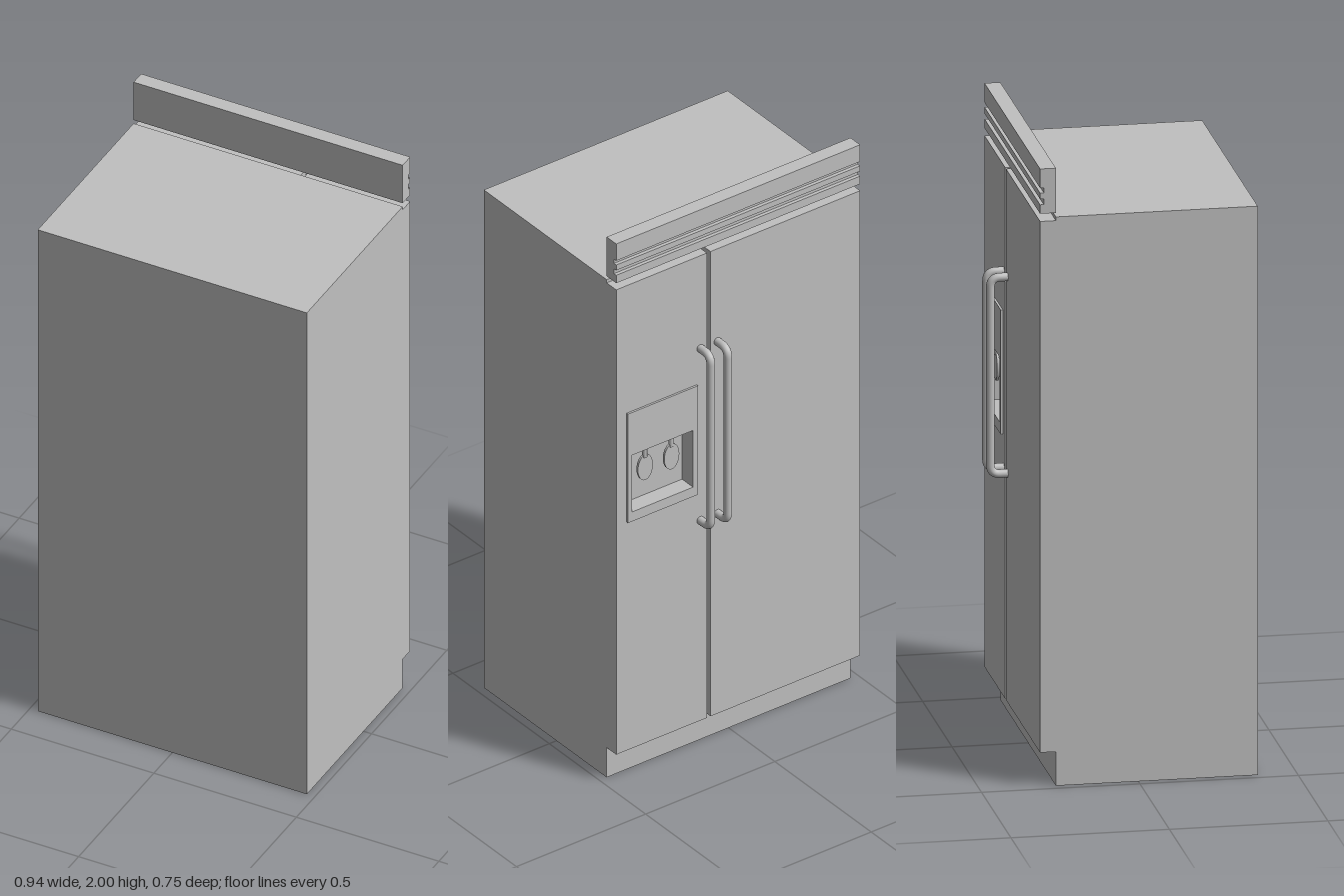
import * as THREE from 'three';

const W = 0.944;          // cabinet width
const BACK = 0.377;       // plain side
const BODY_FRONT = -0.26; // cabinet face behind the doors
const DOOR_FRONT = -0.31;

export function createModel() {
  const model = new THREE.Group();
  model.name = 'refrigerator';
  const grey = new THREE.MeshStandardMaterial({ color: 0xc0c0c0 });
  grey.name = 'grey';

  const add = (name, geometry, parent = model) => {
    const mesh = new THREE.Mesh(geometry, grey);
    mesh.name = name;
    parent.add(mesh);
    return mesh;
  };
  // Box given by its limits on each axis
  const box = (name, [x0, x1], [y0, y1], [z0, z1]) => {
    const g = new THREE.BoxGeometry(x1 - x0, y1 - y0, z1 - z0);
    g.translate((x0 + x1) / 2, (y0 + y1) / 2, (z0 + z1) / 2);
    return add(name, g);
  };
  const corners = (x0, x1, y0, y1) => [[x0, y0], [x1, y0], [x1, y1], [x0, y1]]
    .map(([x, y]) => new THREE.Vector2(x, y));
  // Upright panel with the dispenser opening cut through it
  const opening = corners(0.18, 0.416, 0.99, 1.2);
  const cutPanel = (name, x0, x1, y0, y1, z0, z1) => {
    const shape = new THREE.Shape(corners(x0, x1, y0, y1));
    shape.holes.push(new THREE.Path(opening));
    const g = new THREE.ExtrudeGeometry(shape, { depth: z1 - z0, bevelEnabled: false });
    g.translate(0, 0, z0);
    return add(name, g);
  };

  // Cabinet and doors
  box('cabinet', [-W / 2, W / 2], [0, 1.842], [BODY_FRONT, BACK]);
  box('wideDoor', [-W / 2, 0.107], [0.11, 1.83], [DOOR_FRONT, BODY_FRONT]);
  cutPanel('narrowDoor', 0.121, W / 2, 0.11, 1.83, DOOR_FRONT, BODY_FRONT);

  // Top grille with two horizontal grooves
  const f = DOOR_FRONT, groove = DOOR_FRONT + 0.012;
  const profile = [
    [BODY_FRONT, 1.855], [BODY_FRONT, 2], [f, 2],
    [f, 1.938], [groove, 1.938], [groove, 1.922], [f, 1.922],
    [f, 1.902], [groove, 1.902], [groove, 1.884], [f, 1.884], [f, 1.855],
  ].map(([z, y]) => new THREE.Vector2(z, y));
  const grille = new THREE.ExtrudeGeometry(new THREE.Shape(profile), { depth: W, bevelEnabled: false });
  grille.rotateY(-Math.PI / 2);
  grille.translate(W / 2, 0, 0);
  add('topGrille', grille);

  // Pair of bent bar handles beside the door gap
  const low = 0.852, high = 1.488, out = -0.364, bend = 0.03;
  const v = (y, z) => new THREE.Vector3(0, y, z);
  const path = new THREE.CurvePath();
  path.add(new THREE.LineCurve3(v(low, DOOR_FRONT + 0.005), v(low, out + bend)));
  path.add(new THREE.QuadraticBezierCurve3(v(low, out + bend), v(low, out), v(low + bend, out)));
  path.add(new THREE.LineCurve3(v(low + bend, out), v(high - bend, out)));
  path.add(new THREE.QuadraticBezierCurve3(v(high - bend, out), v(high, out), v(high, out + bend)));
  path.add(new THREE.LineCurve3(v(high, out + bend), v(high, DOOR_FRONT + 0.005)));
  const bar = new THREE.TubeGeometry(path, 120, 0.0135, 16);
  add('wideDoorHandle', bar).position.x = 0.081;
  add('narrowDoorHandle', bar).position.x = 0.147;

  // Dispenser: raised frame around the recess, with two paddles on stems
  cutPanel('dispenserFrame', 0.16, 0.432, 0.955, 1.358, DOOR_FRONT - 0.007, DOOR_FRONT);
  const pad = new THREE.CylinderGeometry(1, 1, 0.008, 24);
  pad.rotateX(Math.PI / 2);
  pad.scale(0.029, 0.047, 1);
  const stem = new THREE.CylinderGeometry(0.008, 0.008, 0.045, 12);
  for (const x of [0.248, 0.35]) {
    const paddle = new THREE.Group();
    paddle.name = 'dispenserPaddle';
    paddle.position.set(x, 1.12, -0.294);
    add('pad', pad, paddle);
    add('stem', stem, paddle).position.y = 0.0595;
    model.add(paddle);
  }
  return model;
}
